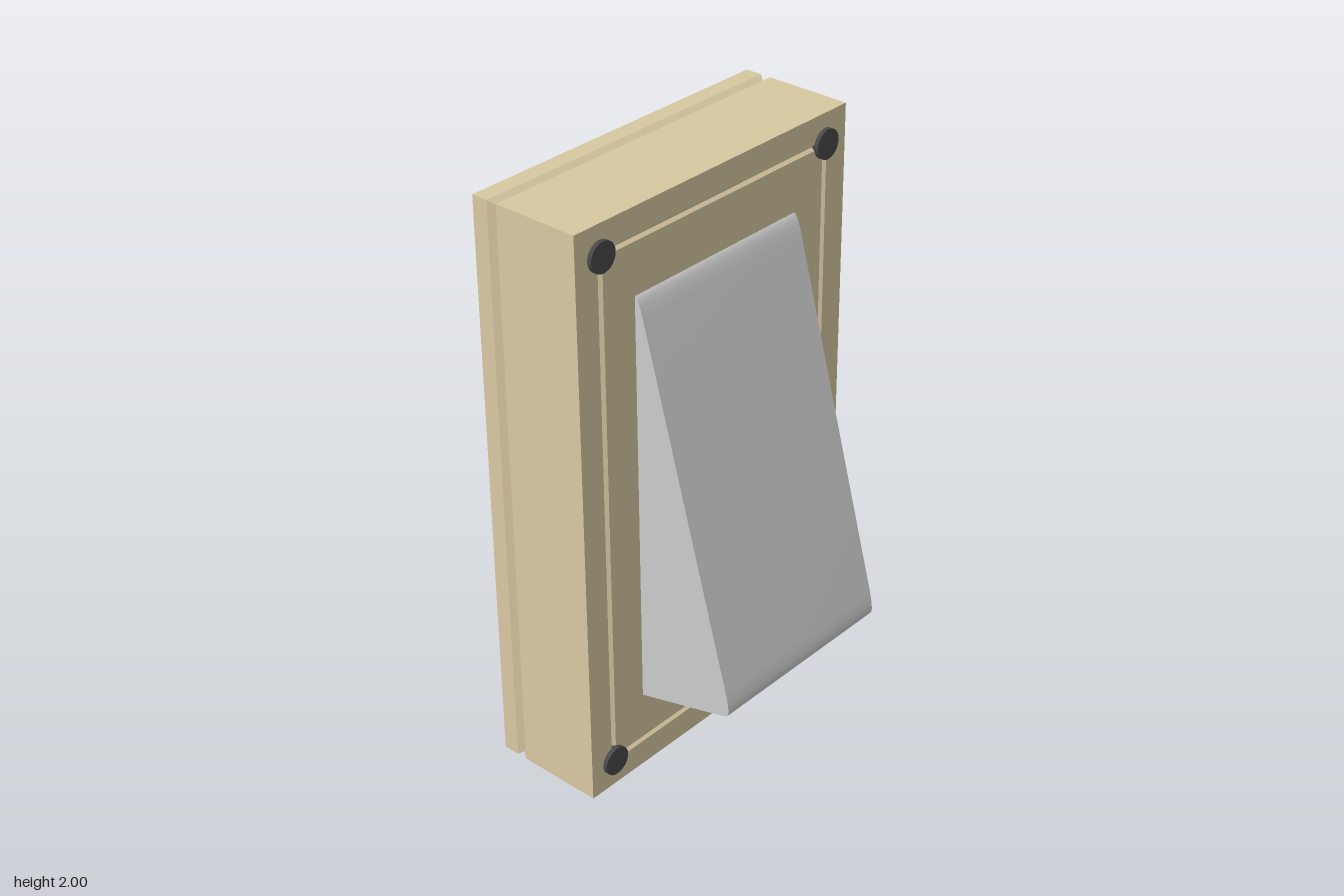
import * as THREE from 'three';
import { toCreasedNormals } from 'three/addons/utils/BufferGeometryUtils.js';

const BACK = -0.38, FACE = 0.017;

// Skin of rectangular rings stacked along x; each ring is [x, inset from the outer edge]
function ringSkin(rings, height, depth) {
  const pos = [], index = [];
  for (const [x, inset] of rings) {
    const h = height / 2 - inset, d = depth / 2 - inset;
    for (const [sy, sz] of [[-1, -1], [1, -1], [1, 1], [-1, 1]]) pos.push(x, sy * h, sz * d);
  }
  for (let r = 0; r < rings.length - 1; r++) {
    for (let i = 0; i < 4; i++) {
      const a = r * 4 + i, b = r * 4 + (i + 1) % 4;
      index.push(a, b, b + 4, a, b + 4, a + 4);
    }
  }
  // back and front caps
  const e = (rings.length - 1) * 4;
  index.push(0, 2, 1, 0, 3, 2, e, e + 1, e + 2, e, e + 2, e + 3);
  const geo = new THREE.BufferGeometry();
  geo.setAttribute('position', new THREE.Float32BufferAttribute(pos, 3));
  geo.setIndex(index);
  const flat = geo.toNonIndexed();
  flat.computeVertexNormals();
  return flat;
}

export function createModel() {
  const group = new THREE.Group();
  const housingMat = new THREE.MeshStandardMaterial({ color: 0xd8c8a2 });
  const rockerMat = new THREE.MeshStandardMaterial({ color: 0xcccccc });
  const screwMat = new THREE.MeshStandardMaterial({ color: 0x484848 });

  const add = (name, geo, mat, x, y, z) => {
    const mesh = new THREE.Mesh(geo, mat);
    mesh.name = name;
    mesh.position.set(x, y, z);
    group.add(mesh);
    return mesh;
  };

  // Housing: V seam around the sides and a fine V groove framing the face
  add('housing', ringSkin([
    [BACK, 0], [-0.323, 0], [-0.304, 0.013], [-0.285, 0],
    [FACE, 0], [FACE, 0.09], [FACE - 0.01, 0.1], [FACE, 0.11],
  ], 2, 1.2), housingMat, 0, 1, 0);

  // Rocker: wedge with rounded nose and rounded upper edge
  const profile = new THREE.Shape();
  profile.moveTo(FACE, 0.277);
  profile.lineTo(0.36, 0.368);
  profile.quadraticCurveTo(0.376, 0.372, 0.377, 0.39);
  profile.quadraticCurveTo(0.378, 0.41, 0.366, 0.46);
  profile.lineTo(0.05, 1.64);
  profile.quadraticCurveTo(0.032, 1.708, FACE, 1.717);
  profile.closePath();
  const rocker = new THREE.ExtrudeGeometry(profile, { depth: 0.72, bevelEnabled: false, curveSegments: 6 });
  add('rocker', toCreasedNormals(rocker, 0.5), rockerMat, 0, 0, -0.36);

  // Corner screws
  const screw = new THREE.CylinderGeometry(0.05, 0.05, 0.03, 32).rotateZ(-Math.PI / 2);
  for (const y of [0.1, 1.9]) {
    for (const z of [-0.5, 0.5]) add('screw', screw, screwMat, FACE, y, z);
  }
  return group;
}
